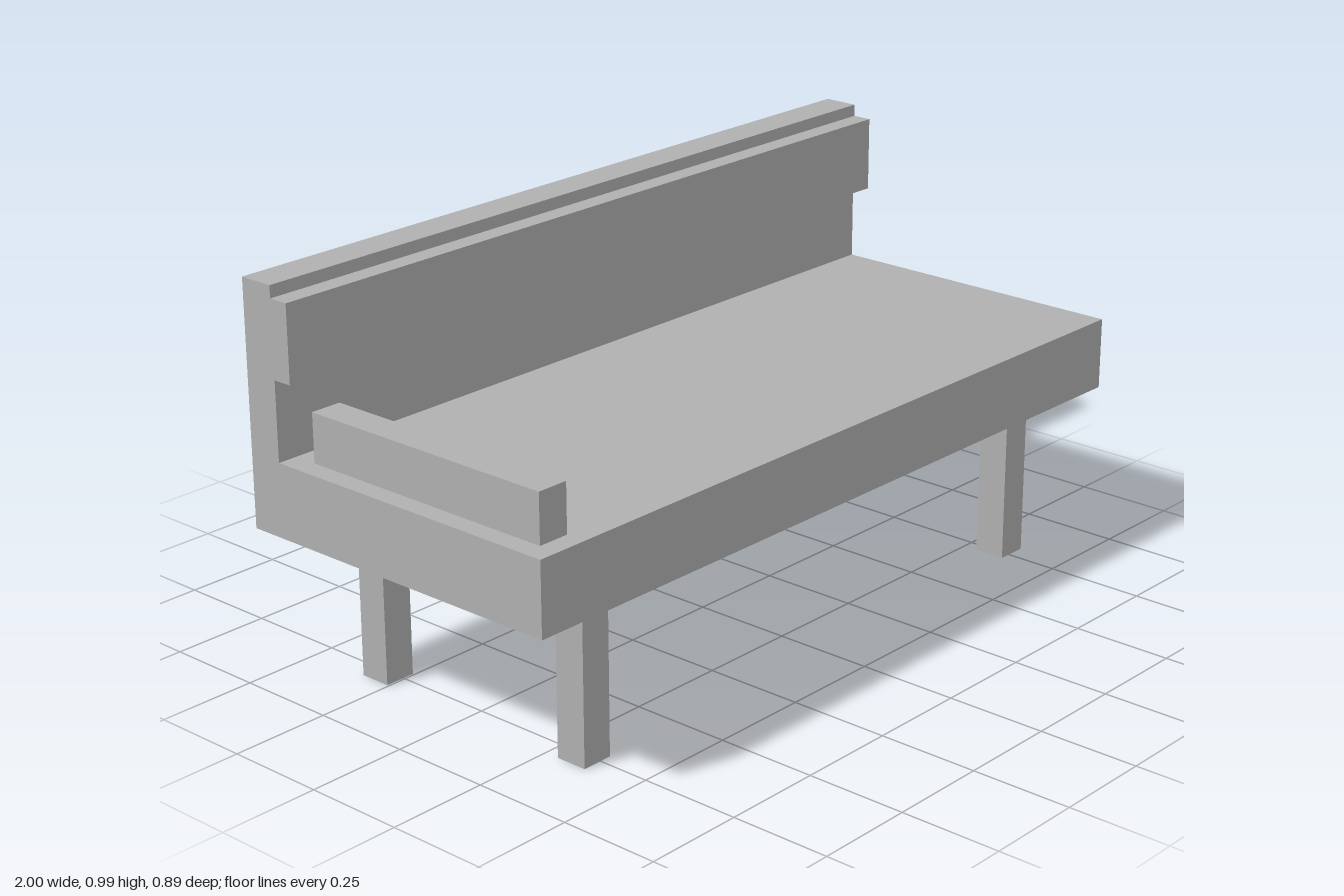
import * as THREE from 'three';

const grey = new THREE.MeshStandardMaterial({ color: 0xb0b0b0 });
grey.name = 'grey';

// Box given by its minimum and maximum corners
function box(name, [x0, y0, z0], [x1, y1, z1]) {
  const mesh = new THREE.Mesh(new THREE.BoxGeometry(x1 - x0, y1 - y0, z1 - z0), grey);
  mesh.name = name;
  mesh.position.set((x0 + x1) / 2, (y0 + y1) / 2, (z0 + z1) / 2);
  return mesh;
}

export function createModel() {
  const model = new THREE.Group();
  model.name = 'bench';

  // Seat, backrest and its padded rail: one side profile (z, y) swept along the width
  const profile = new THREE.Shape([
    [0.445, 0.4], [0.445, 0.58], [-0.355, 0.58], [-0.355, 0.773], [-0.305, 0.773],
    [-0.305, 0.96], [-0.355, 0.96], [-0.355, 0.99], [-0.445, 0.99], [-0.445, 0.4],
  ].map(([z, y]) => new THREE.Vector2(-z, y)));
  const geometry = new THREE.ExtrudeGeometry(profile, { depth: 2, bevelEnabled: false });
  geometry.translate(0, 0, -1);
  geometry.rotateY(Math.PI / 2);
  const body = new THREE.Mesh(geometry, grey);
  body.name = 'seatAndBackrest';
  model.add(body);

  // Single armrest on the right-hand end
  model.add(box('armrest', [-0.95, 0.58, -0.295], [-0.87, 0.7, 0.395]));

  // Four square legs
  for (const [side, x] of [['Left', 0.76], ['Right', -0.76]]) {
    for (const [end, z] of [['front', 0.327], ['back', -0.295]]) {
      model.add(box(`${end}${side}Leg`, [x - 0.04, 0, z - 0.04], [x + 0.04, 0.4, z + 0.04]));
    }
  }
  return model;
}
